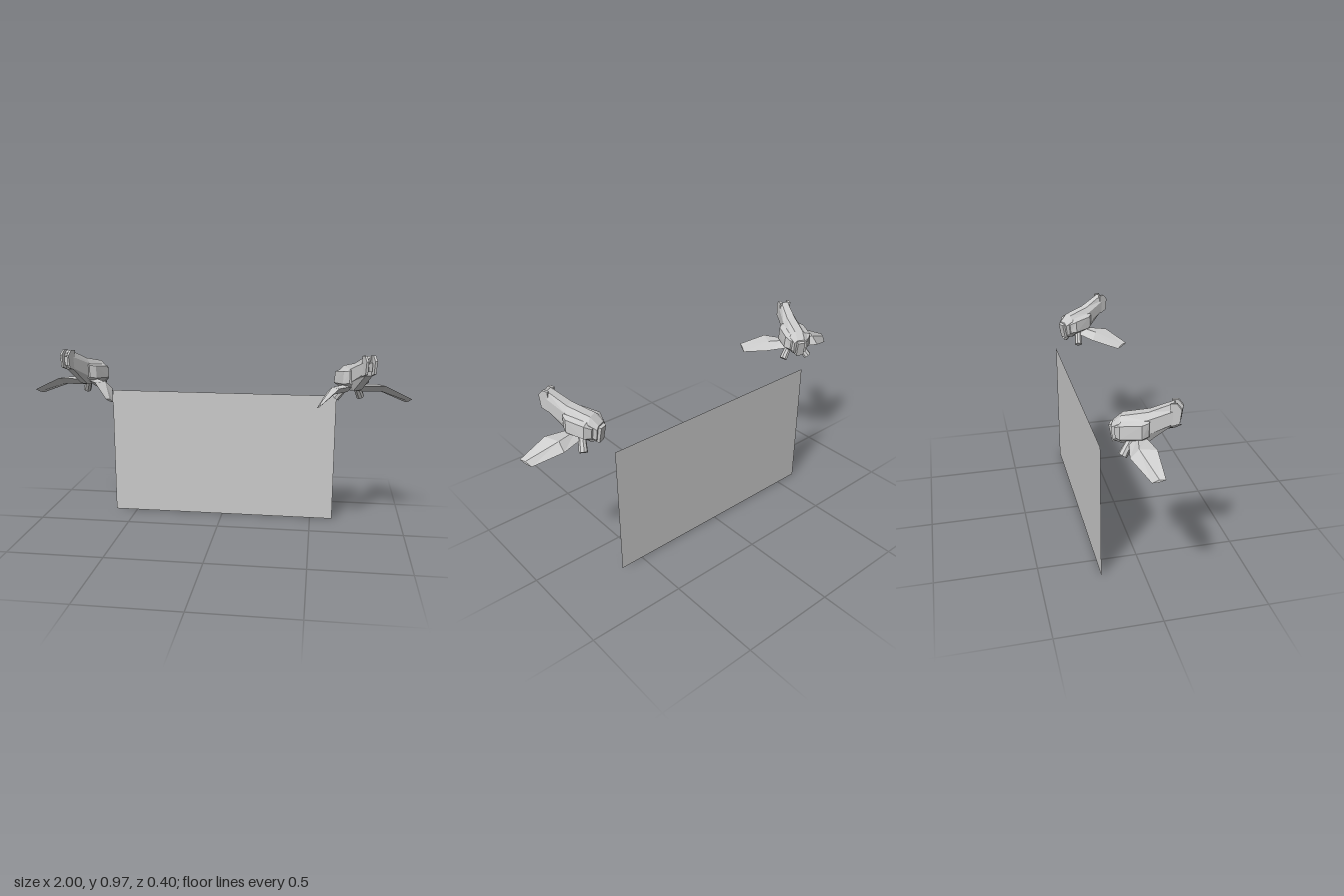
import * as THREE from 'three';

const material = new THREE.MeshStandardMaterial({ color: 0xcccccc, flatShading: true });
const panelMaterial = new THREE.MeshStandardMaterial({ color: 0xcccccc, side: THREE.DoubleSide });

// Faceted solid through rings of [forward, sideways, height] points, capped at both ends
function loft(name, rings) {
  const n = rings[0].length;
  const pts = rings.flat().map(([u, v, y]) => new THREE.Vector3(v, y, u));
  let tris = [];
  for (let r = 0; r < rings.length - 1; r++) {
    for (let i = 0; i < n; i++) {
      const a = r * n + i, b = r * n + (i + 1) % n;
      tris.push([a, b, b + n], [a, b + n, a + n]);
    }
  }
  const last = (rings.length - 1) * n;
  for (let i = 1; i < n - 1; i++) {
    tris.push([0, i + 1, i], [last, last + i, last + i + 1]);
  }
  // Turn all faces outward
  const centre = pts.reduce((s, p) => s.add(p), new THREE.Vector3()).divideScalar(pts.length);
  const at = (k) => pts[k].clone().sub(centre);
  const volume = tris.reduce((s, [a, b, c]) => s + at(a).dot(at(b).cross(at(c))), 0);
  if (volume < 0) tris = tris.map(([a, b, c]) => [a, c, b]);

  const geometry = new THREE.BufferGeometry().setFromPoints(tris.flat().map((k) => pts[k]));
  geometry.computeVertexNormals();
  const mesh = new THREE.Mesh(geometry, material);
  mesh.name = name;
  return mesh;
}

// Complete a half ring (top to bottom) with its mirror image
const symmetric = (half) => [...half, ...half.slice().reverse().map(([u, v, y]) => [u, -v, y])];
const onSide = (rings, s) => rings.map((ring) => ring.map(([u, v, y]) => [u, s * v, y]));

const bodyHalves = [
  [[0.157, 0.018, 0.965], [0.177, 0.028, 0.940], [0.172, 0.028, 0.880], [0.162, 0.016, 0.867]],
  [[0.052, 0.022, 0.915], [0.050, 0.043, 0.885], [0.050, 0.042, 0.815], [0.055, 0.022, 0.775]],
  [[-0.066, 0.022, 0.887], [-0.070, 0.050, 0.860], [-0.070, 0.050, 0.800], [-0.060, 0.028, 0.760]],
  [[-0.106, 0.020, 0.850], [-0.106, 0.036, 0.835], [-0.100, 0.036, 0.780], [-0.092, 0.020, 0.765]],
];

const tailHalves = [
  [[-0.090, 0.024, 0.848], [-0.085, 0.024, 0.765]],
  [[-0.120, 0.020, 0.838], [-0.104, 0.020, 0.759]],
];

// Each wing ring: leading edge, top ridge, trailing edge, underside
const wingRings = [
  [[0.050, 0.030, 0.795], [0.010, 0.030, 0.802], [-0.030, 0.030, 0.775], [0.005, 0.030, 0.760]],
  [[0.112, 0.130, 0.800], [0.035, 0.132, 0.796], [0.000, 0.150, 0.757], [0.065, 0.135, 0.763]],
  [[0.168, 0.2515, 0.735], [0.140, 0.250, 0.732], [0.110, 0.248, 0.710], [0.138, 0.250, 0.718]],
];

const podRings = [
  [[0.062, 0.035, 0.885], [0.062, 0.050, 0.878], [0.062, 0.050, 0.815], [0.062, 0.035, 0.805]],
  [[0.035, 0.035, 0.885], [0.035, 0.070, 0.872], [0.035, 0.074, 0.808], [0.035, 0.035, 0.785]],
  [[-0.060, 0.035, 0.872], [-0.060, 0.072, 0.860], [-0.060, 0.078, 0.800], [-0.060, 0.035, 0.770]],
  [[-0.092, 0.030, 0.850], [-0.088, 0.050, 0.842], [-0.085, 0.052, 0.795], [-0.080, 0.030, 0.775]],
];

// Narrow plates either side of the nose recess
const cheekRings = [0.017, 0.030].map((v) => [
  [0.145, v, 0.966], [0.172, v, 0.969], [0.194, v, 0.943], [0.187, v, 0.878], [0.150, v, 0.862],
]);

// Thruster running from the belly outward, down and back
function thruster(s) {
  const from = new THREE.Vector3(s * 0.032, 0.782, -0.020);
  const to = new THREE.Vector3(s * 0.072, 0.722, -0.048);
  const axis = to.clone().sub(from);
  const mesh = new THREE.Mesh(new THREE.CylinderGeometry(0.018, 0.021, axis.length(), 8), material);
  mesh.position.copy(from).add(to).multiplyScalar(0.5);
  mesh.quaternion.setFromUnitVectors(new THREE.Vector3(0, -1, 0), axis.normalize());
  mesh.name = 'thruster';
  return mesh;
}

function createCraft(name) {
  const craft = new THREE.Group();
  craft.name = name;
  craft.add(loft('body', bodyHalves.map(symmetric)), loft('tailBlock', tailHalves.map(symmetric)));

  // Lens block inside the nose recess
  const lens = new THREE.Mesh(new THREE.BoxGeometry(0.02, 0.045, 0.02), material);
  lens.position.set(0, 0.912, 0.172);
  lens.name = 'noseLens';
  craft.add(lens);

  for (const s of [1, -1]) {
    craft.add(
      loft('wing', onSide(wingRings, s)),
      loft('sidePod', onSide(podRings, s)),
      loft('noseCheek', onSide(cheekRings, s)),
      thruster(s),
    );
  }
  return craft;
}

export function createModel() {
  const model = new THREE.Group();
  model.name = 'dronesWithPanel';

  // Flat panel hanging behind the two drones
  const panel = new THREE.Mesh(new THREE.PlaneGeometry(1.246, 0.705), panelMaterial);
  panel.position.set(0, 0.3525, -0.205);
  panel.name = 'panel';
  model.add(panel);

  // Drones turned away from each other
  for (const s of [1, -1]) {
    const craft = createCraft(s > 0 ? 'leftDrone' : 'rightDrone');
    craft.position.set(s * 0.70, 0, -0.06);
    craft.rotation.y = s * THREE.MathUtils.degToRad(25);
    model.add(craft);
  }
  return model;
}
